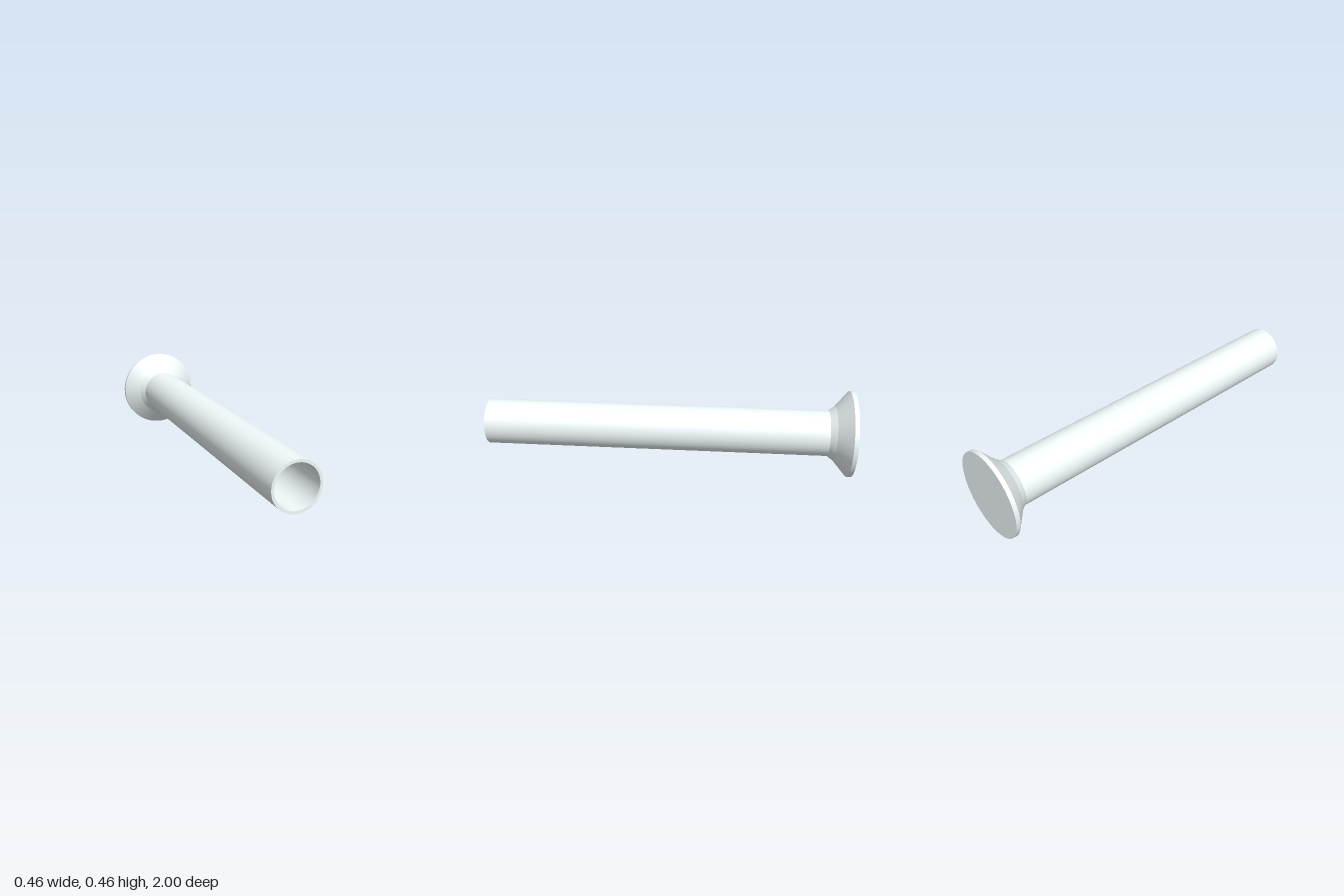
import * as THREE from 'three';
import { mergeGeometries } from 'three/addons/utils/BufferGeometryUtils.js';

const HEAD_R = 0.232, OUTER_R = 0.124, BORE_R = 0.11;
const SHANK_Z = -0.872; // where the head meets the shank
const SEGMENTS = 96;

// Turned surface along z from [radius, z] points; each straight run keeps crisp edges.
function turned(name, profile, material) {
  const runs = [];
  for (let i = 0; i < profile.length - 1; i++) {
    const points = [profile[i], profile[i + 1]].map(([r, z]) => new THREE.Vector2(r, z));
    runs.push(new THREE.LatheGeometry(points, SEGMENTS));
  }
  const geometry = mergeGeometries(runs);
  geometry.rotateX(Math.PI / 2);
  const mesh = new THREE.Mesh(geometry, material);
  mesh.name = name;
  mesh.position.y = HEAD_R;
  return mesh;
}

export function createModel() {
  const group = new THREE.Group();
  group.name = 'hollowRivet';
  // Pale, slightly bluish metal
  const material = new THREE.MeshStandardMaterial({ color: 0xf2fafc, side: THREE.DoubleSide });

  // Flat-backed countersunk head with a thin rim and a steeper neck
  group.add(turned('head', [
    [0, -1], [HEAD_R, -1], [HEAD_R, -0.977], [0.148, -0.905], [OUTER_R, SHANK_Z],
  ], material));

  // Hollow shank: outer wall, open mouth, bore and bore floor
  group.add(turned('shank', [
    [OUTER_R, SHANK_Z], [OUTER_R, 1], [BORE_R, 1], [BORE_R, SHANK_Z], [0, SHANK_Z],
  ], material));

  return group;
}
